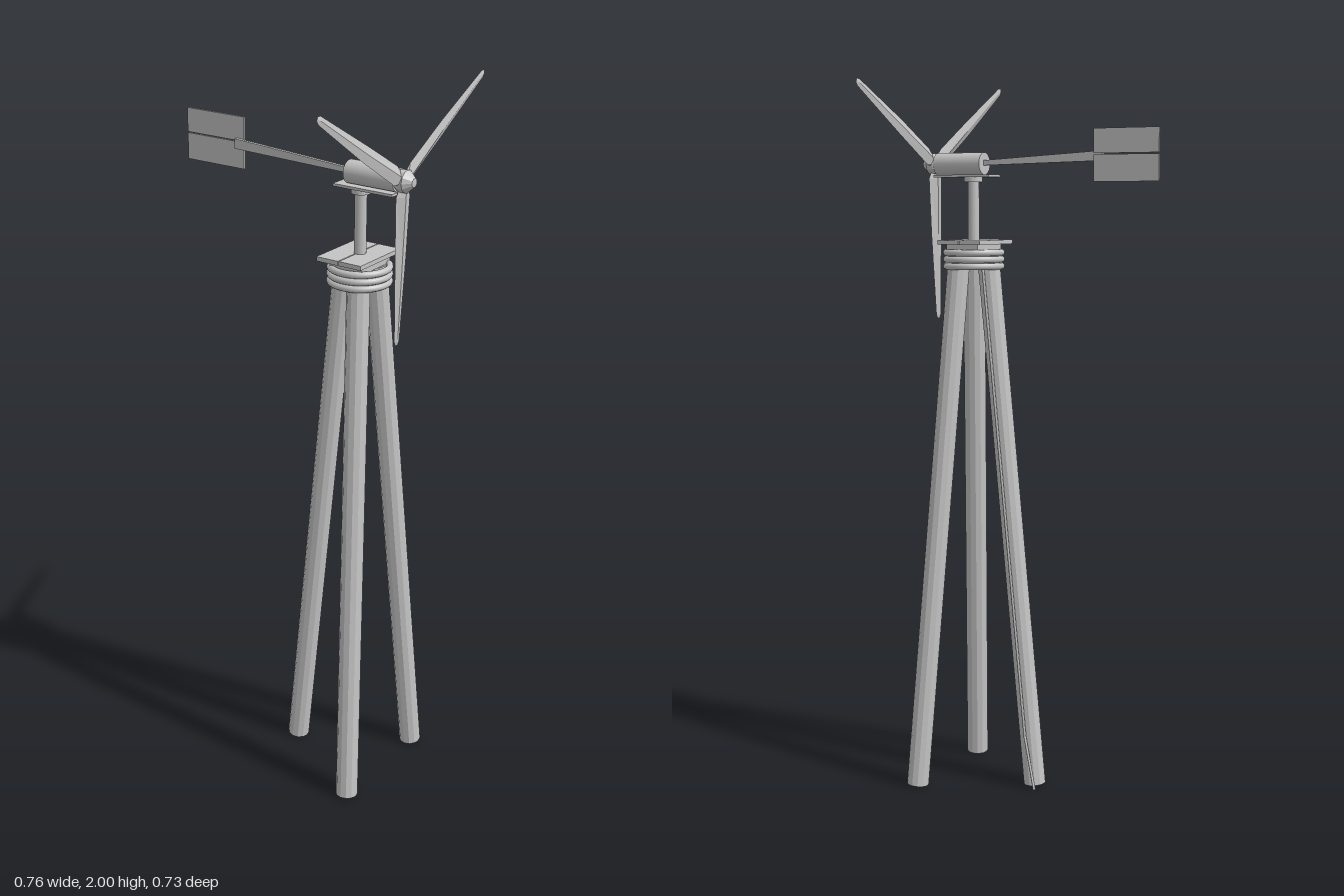
import * as THREE from 'three';

const CX = -0.006, CZ = 0.206; // tower axis
const HUB_Y = 1.773;

export function createModel() {
  const metal = new THREE.MeshStandardMaterial({ color: 0xc4c4c4 });
  metal.name = 'light grey metal';
  const facetedMetal = metal.clone();
  facetedMetal.flatShading = true;
  const model = new THREE.Group();
  model.name = 'windTurbine';

  const add = (name, geometry, x, y, z, material = metal, parent = model) => {
    const mesh = new THREE.Mesh(geometry, material);
    mesh.name = name;
    mesh.position.set(x, y, z);
    parent.add(mesh);
    return mesh;
  };
  const box = (name, w, h, d, x, y, z) => add(name, new THREE.BoxGeometry(w, h, d), x, y, z);
  const post = (name, r, y0, y1, sides = 20) =>
    add(name, new THREE.CylinderGeometry(r, r, y1 - y0, sides), CX, (y0 + y1) / 2, CZ);

  // Cylinder between two points
  const rod = (name, a, b, r, sides, material) => {
    const dir = b.clone().sub(a);
    const mid = a.clone().add(b).multiplyScalar(0.5);
    const mesh = add(name, new THREE.CylinderGeometry(r, r, dir.length(), sides), mid.x, mid.y, mid.z, material);
    mesh.quaternion.setFromUnitVectors(new THREE.Vector3(0, 1, 0), dir.normalize());
  };

  // Three leaning legs: one at the back, two at the front
  ['backLeg', 'leftLeg', 'rightLeg'].forEach((name, i) => {
    const angle = Math.PI + i * Math.PI * 2 / 3 * -1;
    const at = (r, y) => new THREE.Vector3(CX + r * Math.sin(angle), y, CZ + r * Math.cos(angle));
    rod(name, at(0.195, 0.003), at(0.046, 1.525), 0.031, 12, facetedMetal);
  });

  // Cable running down the side of the back leg and flaring out at the foot
  const cable = [[0.05, 0.005, -0.018], [0.029, 0.15, 0.024], [0.029, 1.5, 0.158]]
    .map((p) => new THREE.Vector3(...p));
  rod('cableFoot', cable[0], cable[1], 0.004, 8);
  rod('cable', cable[1], cable[2], 0.004, 8);

  // Rings binding the leg tops
  for (let i = 0; i < 3; i++) {
    const ring = add('bindingRing', new THREE.TorusGeometry(0.078, 0.0095, 10, 36), CX, 1.489 + i * 0.019, CZ);
    ring.rotation.x = Math.PI / 2;
  }

  // Platform: crossbeam and two planks
  box('platformBeam', 0.13, 0.022, 0.1, CX, 1.539, CZ);
  for (const z of [0.1665, 0.2365]) box('platformPlank', 0.184, 0.012, 0.067, CX, 1.556, z - 0.0005);

  // Mast, swivel collar and bed plate
  post('mast', 0.016, 1.53, 1.74);
  post('swivelCollar', 0.026, 1.722, 1.736);
  box('bedPlate', 0.062, 0.007, 0.18, CX, 1.739, 0.229);

  // Nacelle
  const nacelle = add('nacelle', new THREE.CylinderGeometry(0.031, 0.031, 0.15, 24), CX, HUB_Y, 0.245);
  nacelle.rotation.x = Math.PI / 2;

  // Tail boom, getting taller and rising towards the rear
  const boomGeo = new THREE.BoxGeometry(0.01, 1, 0.368);
  const pos = boomGeo.attributes.position;
  for (let i = 0; i < pos.count; i++) {
    const rear = pos.getZ(i) < 0;
    pos.setY(i, pos.getY(i) * (rear ? 0.027 : 0.014) + (rear ? 0.017 : 0.002));
  }
  boomGeo.computeVertexNormals();
  add('tailBoom', boomGeo, -0.006, HUB_Y, -0.014, facetedMetal);

  // Two vane panels with a narrow seam
  box('upperVane', 0.006, 0.066, 0.192, 0.004, 1.829, -0.272);
  box('lowerVane', 0.006, 0.072, 0.192, 0.004, 1.757, -0.272);

  // Rotor: hub with pointed nose and three blades
  const rotor = new THREE.Group();
  rotor.name = 'rotor';
  rotor.position.set(CX, HUB_Y, 0.332);
  model.add(rotor);
  const profile = [[0, -0.014], [0.025, -0.014], [0.03, -0.006], [0.03, 0.012], [0.012, 0.033], [0, 0.034]];
  const hub = add('hub', new THREE.LatheGeometry(profile.map((p) => new THREE.Vector2(...p)), 12),
    0, 0, 0, facetedMetal, rotor);
  hub.rotation.x = Math.PI / 2;
  const bladeGeo = createBladeGeometry();
  for (let i = 0; i < 3; i++) {
    const blade = add('blade', bladeGeo, 0, 0, 0, facetedMetal, rotor);
    blade.rotation.z = Math.PI + i * Math.PI * 2 / 3;
  }
  return model;
}

// Tapering, slightly twisted blade along +y, lofted from diamond sections
function createBladeGeometry() {
  // distance, trailing edge, leading edge, half thickness, twist
  const sections = [
    [0.01, -0.012, 0.012, 0.01, 0],
    [0.04, -0.026, 0.026, 0.011, 0.18],
    [0.2, -0.019, 0.025, 0.007, 0.12],
    [0.425, -0.001, 0.021, 0.003, 0.06],
    [0.436, 0.005, 0.016, 0.001, 0.06],
  ];
  const vertices = [], index = [];
  sections.forEach(([y, x0, x1, t, twist], s) => {
    const c = Math.cos(twist), n = Math.sin(twist), mid = (x0 + x1) / 2;
    for (const [x, z] of [[mid, t], [x1, 0], [mid, -t], [x0, 0]]) vertices.push(x * c + z * n, y, z * c - x * n);
    if (s === 0) return;
    for (let i = 0; i < 4; i++) {
      const a = (s - 1) * 4 + i, b = (s - 1) * 4 + (i + 1) % 4;
      index.push(a, b, a + 4, b, b + 4, a + 4);
    }
  });
  const e = (sections.length - 1) * 4;
  index.push(e, e + 1, e + 2, e, e + 2, e + 3, 0, 2, 1, 0, 3, 2);
  const geometry = new THREE.BufferGeometry();
  geometry.setAttribute('position', new THREE.Float32BufferAttribute(vertices, 3));
  geometry.setIndex(index);
  geometry.computeVertexNormals();
  return geometry;
}
